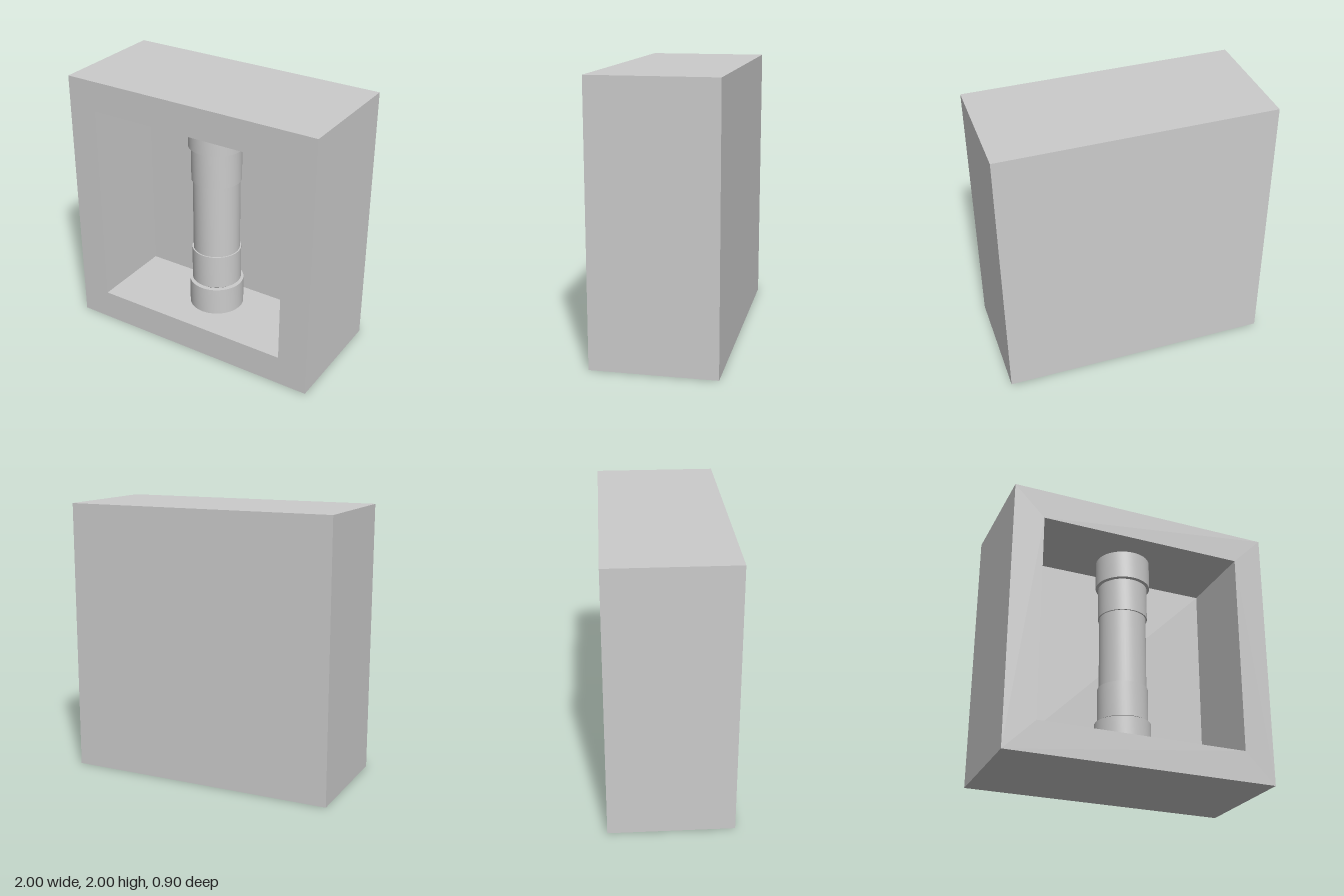
import * as THREE from 'three';
import { toCreasedNormals } from 'three/addons/utils/BufferGeometryUtils.js';

const HALF_DEPTH = 0.45, RECESS_Z = -0.195; // back wall of the recess
const OPEN = 0.7725, COLUMN_Z = 0.055, FLOOR = 1 - OPEN, CEILING = 1 + OPEN;

export function createModel() {
  const group = new THREE.Group();
  const material = new THREE.MeshStandardMaterial({ color: 0xcccccc });
  const add = (name, geometry, x, y, z) => {
    const mesh = new THREE.Mesh(geometry, material);
    mesh.name = name;
    mesh.position.set(x, y, z);
    group.add(mesh);
  };

  // Square frame around the open recess
  const square = (T, h) => new T([[-h, -h], [h, -h], [h, h], [-h, h]].map(([x, y]) => new THREE.Vector2(x, y)));
  const outline = square(THREE.Shape, 1);
  outline.holes.push(square(THREE.Path, OPEN));
  add('frame', new THREE.ExtrudeGeometry(outline, { depth: HALF_DEPTH - RECESS_Z, bevelEnabled: false }), 0, 1, RECESS_Z);

  // Solid back behind the recess
  const thickness = RECESS_Z + HALF_DEPTH;
  add('backWall', new THREE.BoxGeometry(2, 2, thickness), 0, 1, -HALF_DEPTH + thickness / 2);

  // Column pieces, each turned from a profile of [radius, height]
  const turned = (name, points) => {
    const lathe = new THREE.LatheGeometry(points.map(([r, y]) => new THREE.Vector2(r, y)), 48);
    add(name, toCreasedNormals(lathe, 0.5), 0, 0, COLUMN_Z);
  };
  turned('columnBase', [[0, FLOOR], [0.205, FLOOR], [0.205, 0.44], [0, 0.44]]);
  turned('lowerCollar', [[0.17, 0.44], [0.185, 0.452], [0.185, 0.715], [0.17, 0.715]]);
  turned('shaft', [[0.175, 0.715], [0.175, 1.29]]);
  turned('upperCollar', [[0.17, 1.29], [0.185, 1.29], [0.185, 1.547], [0.17, 1.557]]);
  turned('columnCap', [[0, 1.555], [0.205, 1.555], [0.205, CEILING], [0, CEILING]]);

  return group;
}
